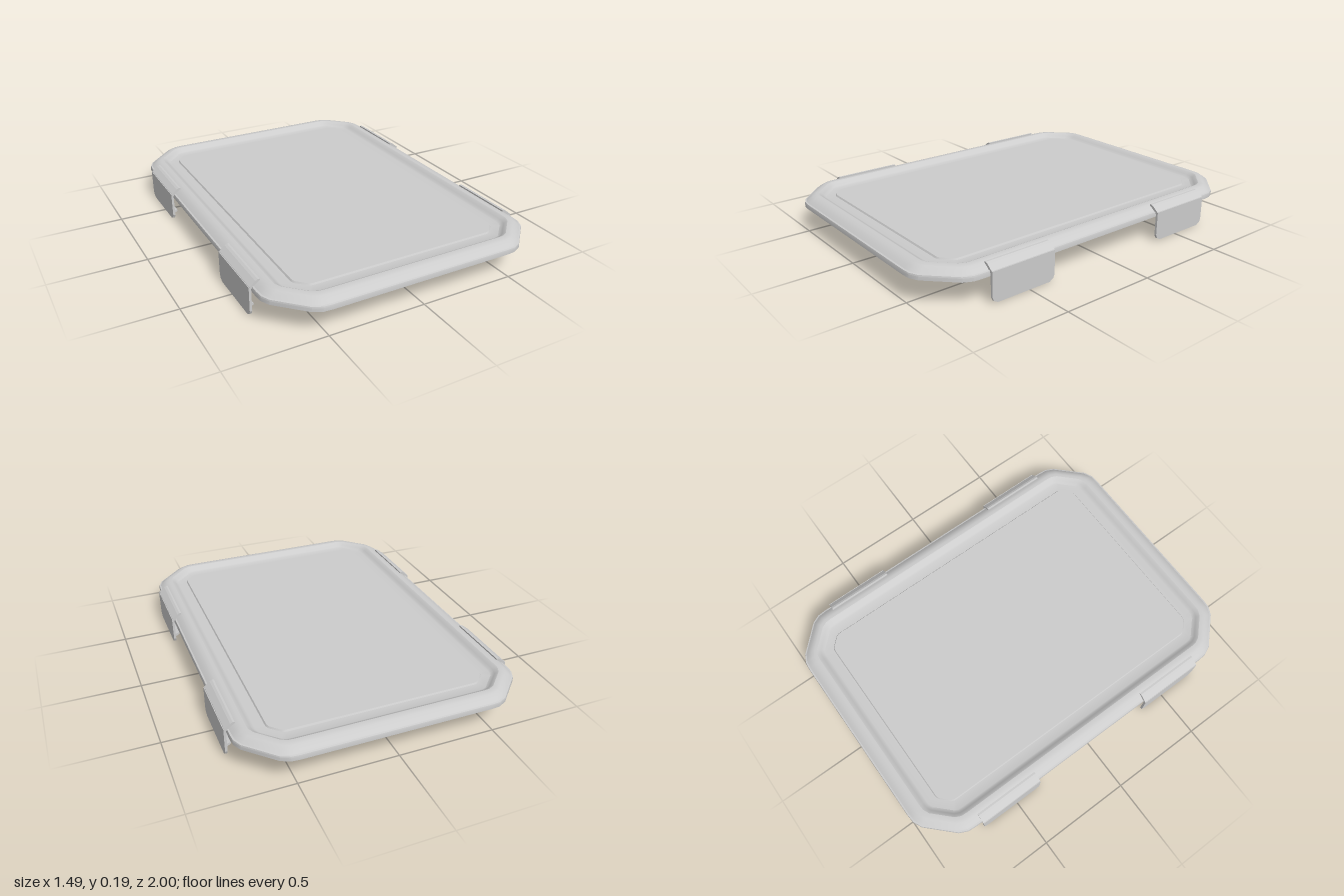
import * as THREE from 'three';
import { toCreasedNormals } from 'three/addons/utils/BufferGeometryUtils.js';

const material = new THREE.MeshStandardMaterial({ color: 0xcccccc, side: THREE.DoubleSide });

// One rounded-off corner, as fractions of the corner size
const CORNER = [[1, 0], [0.985, 0.18], [0.9, 0.36], [0.36, 0.9], [0.18, 0.985], [0, 1]];

// Outline of the lid, moved inward by d
function outline(d, y) {
  const w = 0.73 - d, l = 1 - d, c = Math.max(0.25 - d, 0.06);
  const points = [];
  for (const [sx, sz] of [[1, 1], [-1, 1], [-1, -1], [1, -1]]) {
    const corner = sx * sz > 0 ? CORNER : [...CORNER].reverse();
    for (const [u, v] of corner) points.push([sx * (w - c + u * c), y, sz * (l - c + v * c)]);
  }
  return points;
}

// Skin through a list of [inset, height], closed at the centre at both ends
function loftLid(profile) {
  const rings = profile.map(([d, y]) => outline(d, y));
  const n = rings[0].length;
  const centre = (y) => Array.from({ length: n }, () => [0, y, 0]);
  rings.unshift(centre(profile[0][1]));
  rings.push(centre(profile[profile.length - 1][1]));
  const position = [];
  for (let i = 0; i < rings.length - 1; i++) {
    for (let j = 0; j < n; j++) {
      const k = (j + 1) % n;
      const a = rings[i][j], b = rings[i][k], c = rings[i + 1][j], d = rings[i + 1][k];
      if (i > 0) position.push(...a, ...b, ...d);
      if (i < rings.length - 2) position.push(...a, ...d, ...c);
      else position.push(...a, ...b, ...c);
      if (i === 0) position.splice(position.length - 9, 9, ...a, ...d, ...c);
    }
  }
  const geometry = new THREE.BufferGeometry();
  geometry.setAttribute('position', new THREE.Float32BufferAttribute(position, 3));
  return toCreasedNormals(geometry, 0.4);
}

function polygon(points) {
  return new THREE.Shape(points.map(([x, y]) => new THREE.Vector2(x, y)));
}

function addMesh(parent, name, geometry) {
  const mesh = new THREE.Mesh(geometry, material);
  mesh.name = name;
  parent.add(mesh);
  return mesh;
}

// Extrusion centred on its own depth
function slab(points, depth) {
  return new THREE.ExtrudeGeometry(polygon(points), { depth, bevelEnabled: false })
    .translate(0, 0, -depth / 2);
}

// Locking flap for the +x side, centred on z = 0
function createClip() {
  const clip = new THREE.Group();
  const h = 0.18, cut = 0.03;

  // Hanging plate with cut lower corners
  const plate = slab([
    [-h, 0.155], [-h, cut], [-h + 0.008, 0.012], [-h + cut, 0],
    [h - cut, 0], [h - 0.008, 0.012], [h, cut], [h, 0.155],
  ], 0.012).rotateY(Math.PI / 2).translate(0.739, 0, 0);
  addMesh(clip, 'clipPlate', plate);

  // Fold lying over the slope of the rim
  addMesh(clip, 'clipFold', slab([
    [0.745, 0.145], [0.741, 0.157], [0.712, 0.181], [0.7, 0.187],
    [0.69, 0.187], [0.69, 0.174], [0.733, 0.145],
  ], 2 * h));

  // Catch turned inward at the bottom
  addMesh(clip, 'clipCatch', slab([
    [0.745, 0.003], [0.745, 0.017], [0.735, 0.022], [0.706, 0.032],
    [0.701, 0.028], [0.704, 0.021], [0.73, 0.008],
  ], 0.25));
  return clip;
}

export function createModel() {
  const model = new THREE.Group();
  model.name = 'containerLid';

  // Lid shell: raised panel, gutter, rim, then the hollow underside
  addMesh(model, 'lidShell', loftLid([
    [0.172, 0.168], [0.167, 0.16],
    [0.118, 0.16], [0.108, 0.164], [0.098, 0.172], [0.085, 0.183], [0.078, 0.186],
    [0.062, 0.186], [0.045, 0.182], [0.025, 0.17], [0.01, 0.157], [0.002, 0.155],
    [0, 0.148], [0, 0.13],
    [0.014, 0.13], [0.016, 0.15], [0.05, 0.172], [0.068, 0.174],
    [0.08, 0.14], [0.095, 0.14], [0.105, 0.15],
    [0.167, 0.15], [0.172, 0.156],
  ]));

  // Two shallow bowed ribs along the underside
  for (const side of [1, -1]) {
    const arc = [];
    for (let i = 0; i <= 24; i++) {
      const t = i / 12 - 1;
      arc.push([t * 0.79, 0.156 - 0.024 * (1 - t * t)]);
    }
    const rib = slab([[-0.79, 0.158], ...arc, [0.79, 0.158]], 0.012).rotateY(Math.PI / 2);
    addMesh(model, side > 0 ? 'leftRib' : 'rightRib', rib).position.x = side * 0.27;
  }

  // Two clips on each long side
  for (const side of [1, -1]) {
    for (const end of [1, -1]) {
      const clip = createClip();
      clip.name = (side > 0 ? 'left' : 'right') + (end > 0 ? 'Front' : 'Back') + 'Clip';
      clip.rotation.y = side > 0 ? 0 : Math.PI;
      clip.position.z = end * 0.532;
      model.add(clip);
    }
  }
  return model;
}
